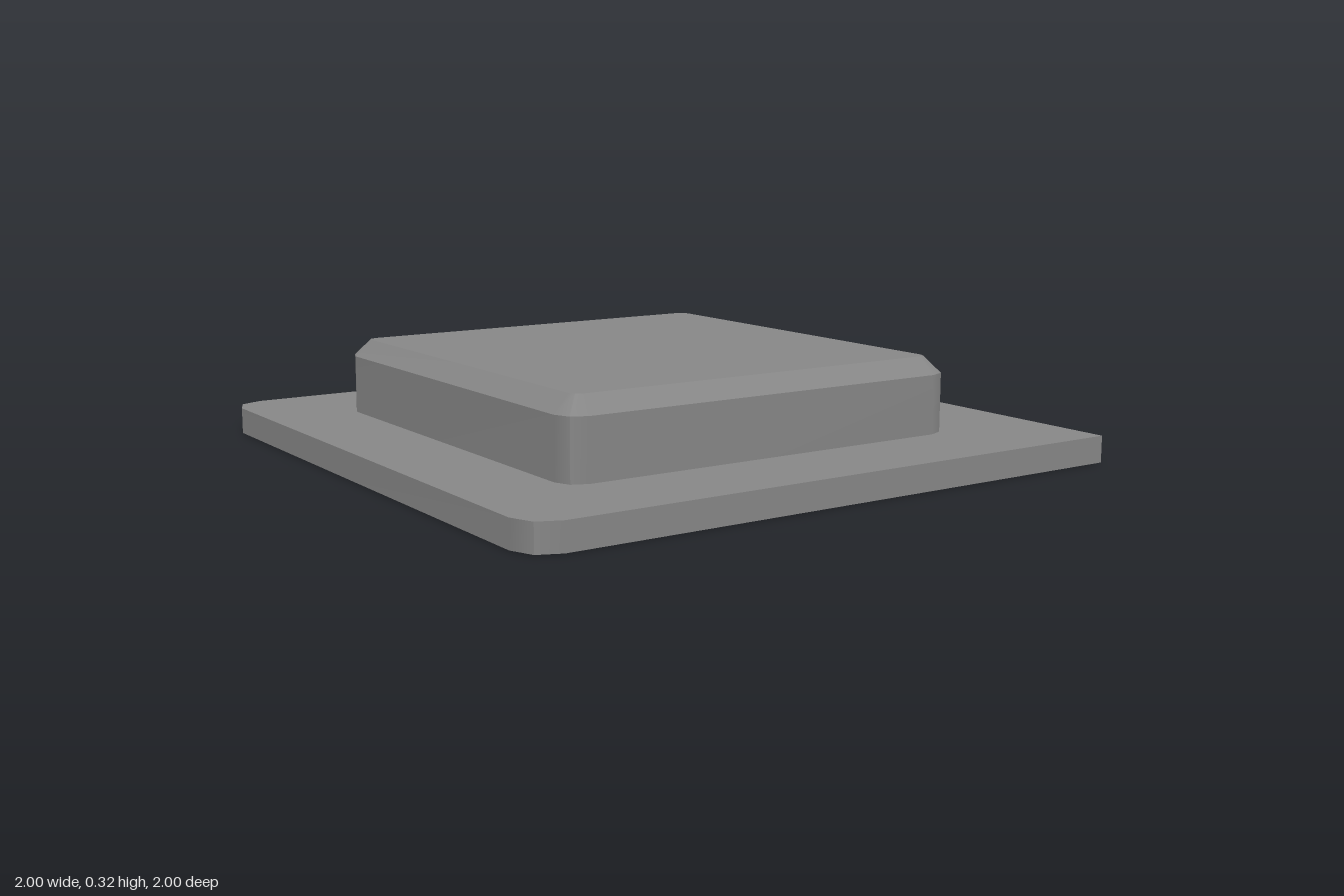
import * as THREE from 'three';
import { mergeGeometries } from 'three/addons/utils/BufferGeometryUtils.js';

const material = new THREE.MeshStandardMaterial({ color: 0x878787 });

// Rounded rectangle at height y as four sides, each running from mid-corner to
// mid-corner; rRight and rLeft round the +x and -x corners.
function ring(y, x0, x1, halfDepth, rRight, rLeft) {
  const corners = [[1, 1], [-1, 1], [-1, -1], [1, -1]].map(([sx, sz], k) => {
    const r = sx > 0 ? rRight : rLeft;
    const cx = sx > 0 ? x1 - r : x0 + r;
    const cz = sz * (halfDepth - r);
    const turns = r > 0 ? [0, 0.5, 1] : [0];
    return turns.map((t) => {
      const a = (k + t) * Math.PI / 2;
      return new THREE.Vector3(cx + r * Math.cos(a), y, cz + r * Math.sin(a));
    });
  });
  return corners.map((corner, k) => {
    const next = corners[(k + 1) % 4];
    return [
      ...corner.slice(Math.floor(corner.length / 2)),
      ...next.slice(0, Math.floor(next.length / 2) + 1),
    ];
  });
}

// Indexed surface whose normals are smooth inside and sharp along its border
function surface(points, index) {
  const geometry = new THREE.BufferGeometry().setFromPoints(points);
  geometry.setIndex(index);
  geometry.computeVertexNormals();
  return geometry;
}

// Strip between two matching sides
function wall(low, high) {
  const n = low.length;
  const index = [];
  for (let i = 0; i < n - 1; i++) {
    index.push(i, n + i, i + 1, n + i, n + i + 1, i + 1);
  }
  return surface([...low, ...high], index);
}

// Flat lid over a ring, facing up or down
function cap(sides, up) {
  const points = sides.flatMap((side) => side.slice(1));
  const index = [];
  for (let i = 1; i < points.length - 1; i++) {
    index.push(0, up ? i + 1 : i, up ? i : i + 1);
  }
  return surface(points, index);
}

// Walls between stacked rings, plus the given caps
function stack(name, rings, caps) {
  const parts = [...caps];
  for (let k = 0; k < rings.length - 1; k++) {
    rings[k].forEach((side, s) => parts.push(wall(side, rings[k + 1][s])));
  }
  const mesh = new THREE.Mesh(mergeGeometries(parts), material);
  mesh.name = name;
  return mesh;
}

export function createModel() {
  const group = new THREE.Group();
  group.name = 'platform';

  // Thin base plate, rounded only at its two -x corners
  const plate = [0, 0.083].map((y) => ring(y, -1, 1, 1, 0, 0.1));
  group.add(stack('basePlate', plate, [cap(plate[0], false), cap(plate[1], true)]));

  // Raised block with rounded corners and a chamfered top edge
  const block = [
    ring(0.083, -0.71, 0.655, 0.698, 0.07, 0.07),
    ring(0.266, -0.71, 0.655, 0.698, 0.07, 0.07),
    ring(0.318, -0.658, 0.603, 0.648, 0.03, 0.03),
  ];
  group.add(stack('raisedBlock', block, [cap(block[2], true)]));

  return group;
}
